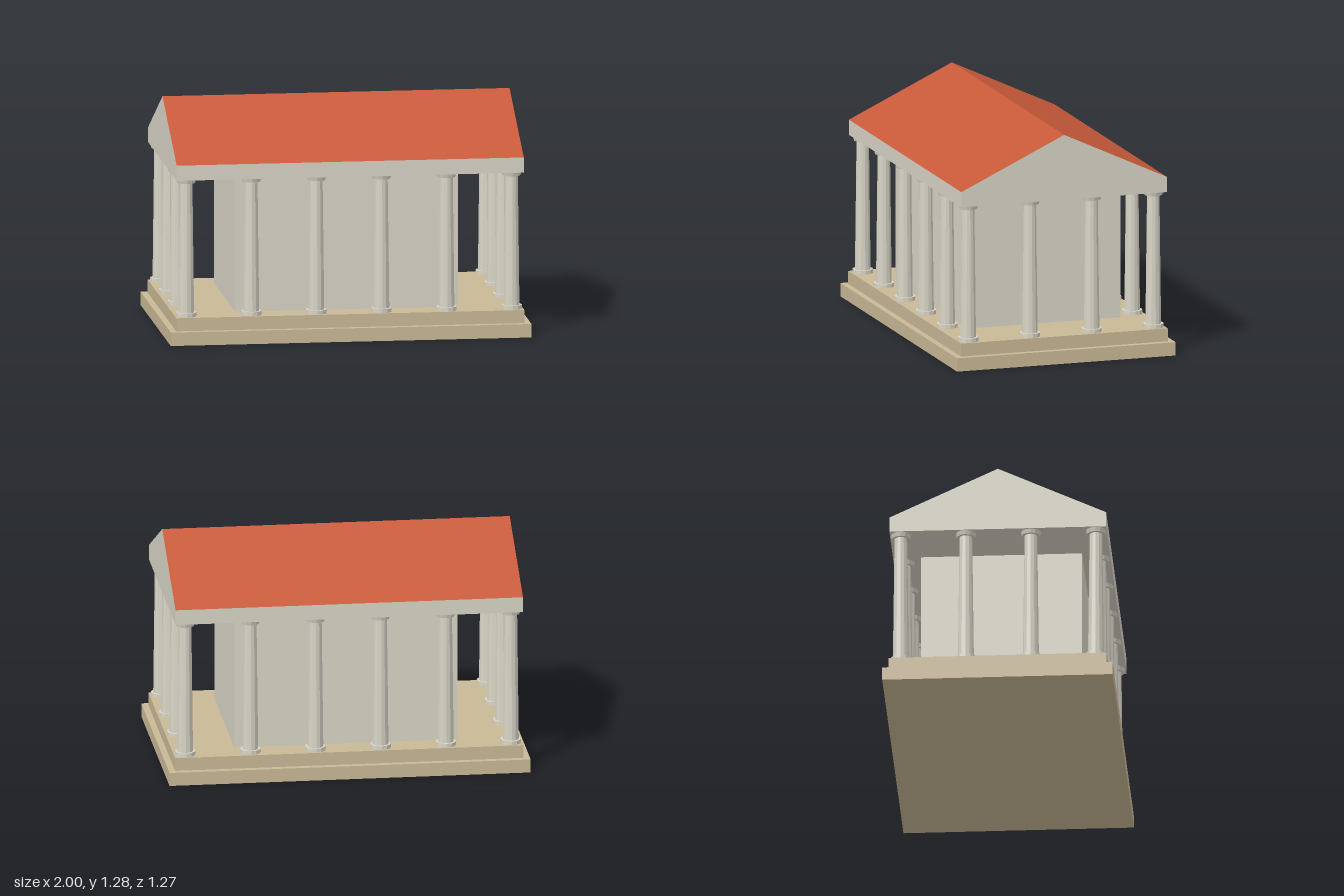
import * as THREE from 'three';

const material = (name, color, flatShading = false) => {
  const m = new THREE.MeshStandardMaterial({ color });
  m.name = name;
  m.flatShading = flatShading;
  return m;
};

export function createModel() {
  const temple = new THREE.Group();
  temple.name = 'temple';
  const stone = material('pale stone', 0xd8d4c6, true);
  const sand = material('sandstone', 0xc8b896);
  const terracotta = material('terracotta', 0xc85a3a);

  const add = (parent, name, geometry, mat, x = 0, y = 0, z = 0) => {
    const mesh = new THREE.Mesh(geometry, mat);
    mesh.name = name;
    mesh.position.set(x, y, z);
    parent.add(mesh);
    return mesh;
  };
  // Box centred on x and z, between two heights
  const slab = (name, halfX, halfZ, y0, y1, mat) =>
    add(temple, name, new THREE.BoxGeometry(halfX * 2, y1 - y0, halfZ * 2), mat, 0, (y0 + y1) / 2, 0);

  const floorY = 0.148, beamY = 0.915, eaveY = 1.0, ridgeY = 1.28;
  const roofX = 0.962, roofZ = 0.597;

  // Stepped platform, inner chamber and beam
  slab('lowerStep', 1, 0.634, 0, 0.075, sand);
  slab('upperStep', 0.965, 0.6, 0.075, floorY, sand);
  slab('innerChamber', 0.618, 0.444, floorY, beamY, stone);
  slab('entablature', roofX, roofZ, beamY, eaveY, stone);

  // Gabled roof: stone pediments at the ends, tiled slopes along the sides
  const gable = new THREE.Shape([
    new THREE.Vector2(-roofZ, 0),
    new THREE.Vector2(roofZ, 0),
    new THREE.Vector2(0, ridgeY - eaveY),
  ]);
  const roof = new THREE.ExtrudeGeometry(gable, { depth: roofX * 2, bevelEnabled: false });
  roof.translate(0, 0, -roofX).rotateY(Math.PI / 2);
  add(temple, 'roof', roof, [stone, terracotta], 0, eaveY, 0);

  // Tapered columns with a round base and a flared capital
  const ring = 0.022, height = beamY - floorY, sides = 12;
  const baseGeo = new THREE.CylinderGeometry(0.057, 0.057, ring, sides);
  const shaftGeo = new THREE.CylinderGeometry(0.035, 0.044, height - ring * 2, sides);
  const capitalGeo = new THREE.CylinderGeometry(0.056, 0.05, ring, sides);
  const addColumn = (x, z) => {
    const column = new THREE.Group();
    column.name = 'column';
    column.position.set(x, floorY, z);
    add(column, 'columnBase', baseGeo, stone, 0, ring / 2);
    add(column, 'columnShaft', shaftGeo, stone, 0, height / 2);
    add(column, 'columnCapital', capitalGeo, stone, 0, height - ring / 2);
    temple.add(column);
  };

  // Six columns along each long side, two more between them at each end
  const endX = 0.902, sideZ = 0.537;
  for (const s of [-1, 1]) {
    for (let i = 0; i < 6; i++) addColumn(-endX + (i * endX * 2) / 5, s * sideZ);
    for (const z of [-sideZ / 3, sideZ / 3]) addColumn(s * endX, z);
  }
  return temple;
}
